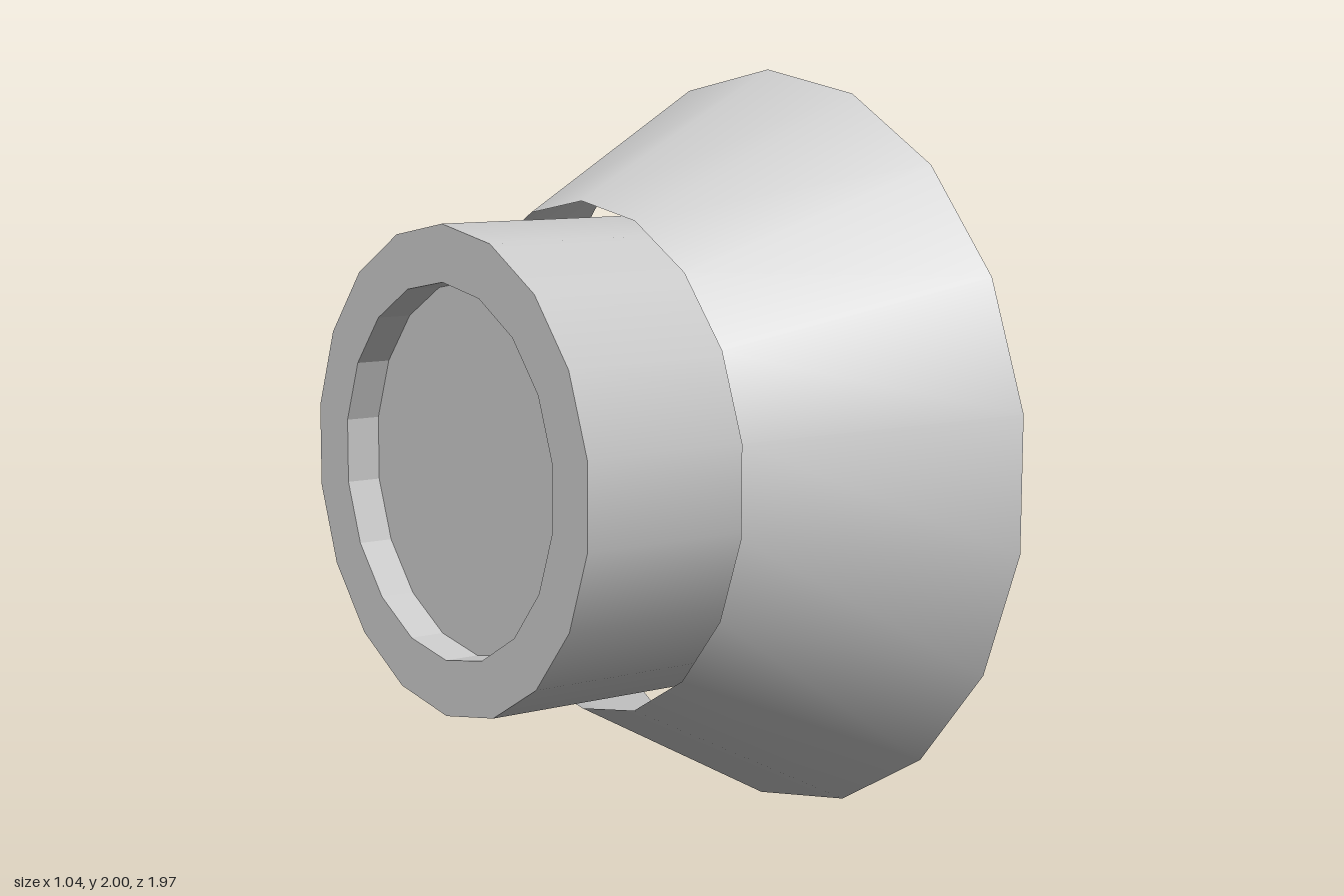
import * as THREE from 'three';

const SIDES = 18;
const BACK = -0.52, FRONT = 0.52;

function material(flatShading = false) {
  return new THREE.MeshStandardMaterial({ color: 0xcccccc, side: THREE.DoubleSide, flatShading });
}

// Open round shell lying along x, with a vertex at the very top
function shell(name, x0, x1, r0, r1, flat = false) {
  const geometry = new THREE.CylinderGeometry(r1, r0, x1 - x0, SIDES, 1, true);
  geometry.rotateX(-Math.PI / 2).rotateY(-Math.PI / 2);
  const mesh = new THREE.Mesh(geometry, material(flat));
  mesh.name = name;
  mesh.position.set((x0 + x1) / 2, 1, 0);
  return mesh;
}

// Flat plate facing -x
function plate(name, x, geometry) {
  const mesh = new THREE.Mesh(geometry.rotateY(-Math.PI / 2), material());
  mesh.name = name;
  mesh.position.set(x, 1, 0);
  return mesh;
}

export function createModel() {
  const group = new THREE.Group();
  group.name = 'flaredTube';
  const tubeR = 0.625, recessR = 0.48, recessX = BACK + 0.095;

  // Straight inner tube, open at the front
  group.add(shell('innerTube', BACK, FRONT, tubeR, tubeR));

  // Flared collar standing clear of the tube
  group.add(shell('flaredCollar', -0.095, FRONT, 0.668, 1));

  // Back face with a shallow faceted recess
  group.add(plate('backRim', BACK, new THREE.RingGeometry(recessR, tubeR, SIDES, 1, Math.PI / 2)));
  group.add(shell('recessWall', BACK, recessX, recessR, recessR, true));
  group.add(plate('recessFloor', recessX, new THREE.CircleGeometry(recessR, SIDES, Math.PI / 2)));

  return group;
}
